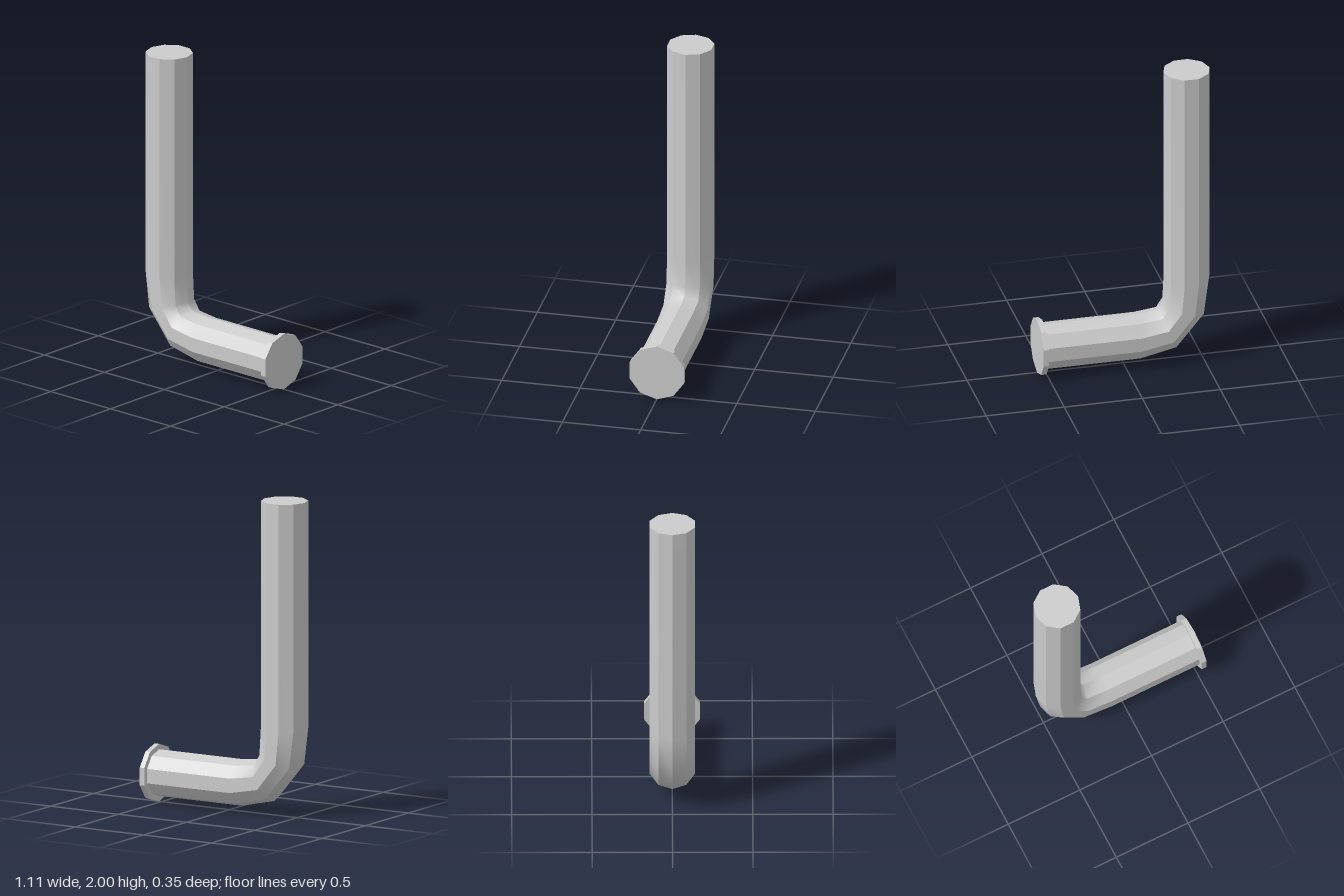
import * as THREE from 'three';

const SIDES = 10;
const RADIUS = 0.148;
const AXIS_X = -0.406; // upright run
const AXIS_Y = 0.184; // level run
const FLANGE_X = 0.517;

// Sweeps a ten-sided section through rings given by the outer and inner points of the bend.
// Every side is its own strip: sharp between sides, smooth along the length.
function sweptPipe(rings) {
  const positions = [], indices = [];
  for (let s = 0; s < SIDES; s++) {
    const base = positions.length / 3;
    rings.forEach(([ox, oy, ix, iy], i) => {
      for (const k of [s, s + 1]) {
        const angle = (k / SIDES) * Math.PI * 2;
        const t = (1 + Math.cos(angle)) / 2;
        positions.push(ox + (ix - ox) * t, oy + (iy - oy) * t, Math.sin(angle) * RADIUS);
      }
      if (i > 0) {
        const c = base + i * 2, a = c - 2;
        indices.push(a, a + 1, c, a + 1, c + 1, c);
      }
    });
  }
  const geometry = new THREE.BufferGeometry();
  geometry.setAttribute('position', new THREE.Float32BufferAttribute(positions, 3));
  geometry.setIndex(indices);
  geometry.computeVertexNormals();
  return geometry;
}

export function createModel() {
  const group = new THREE.Group();
  group.name = 'elbowPipe';
  const material = new THREE.MeshStandardMaterial({ color: 0xcccccc });
  const flat = new THREE.MeshStandardMaterial({ color: 0xcccccc, flatShading: true });
  const add = (name, geometry, mat) => {
    const mesh = new THREE.Mesh(geometry, mat);
    mesh.name = name;
    group.add(mesh);
    return mesh;
  };

  // Upright run, elbow and level run in one sweep
  const left = AXIS_X - RADIUS, right = AXIS_X + RADIUS;
  const low = AXIS_Y - RADIUS, high = AXIS_Y + RADIUS;
  add('pipe', sweptPipe([
    [left, 2, right, 2],
    [left, 0.56, right, 0.56],
    [-0.522, 0.32, -0.25, 0.395],
    [-0.33, 0.09, -0.222, 0.345],
    [-0.09, low, -0.09, high],
    [FLANGE_X, low, FLANGE_X, high],
  ]), material);

  // Flat lid on the upright end
  const lid = new THREE.CircleGeometry(RADIUS, SIDES).rotateX(-Math.PI / 2);
  add('topCap', lid, flat).position.set(AXIS_X, 2, 0);

  // Wider disc closing the level end
  const thickness = 0.034;
  const disc = new THREE.CylinderGeometry(0.182, 0.182, thickness, SIDES)
    .rotateY(Math.PI / 2)
    .rotateZ(Math.PI / 2);
  add('endFlange', disc, flat).position.set(FLANGE_X + thickness / 2, AXIS_Y, 0);

  return group;
}
